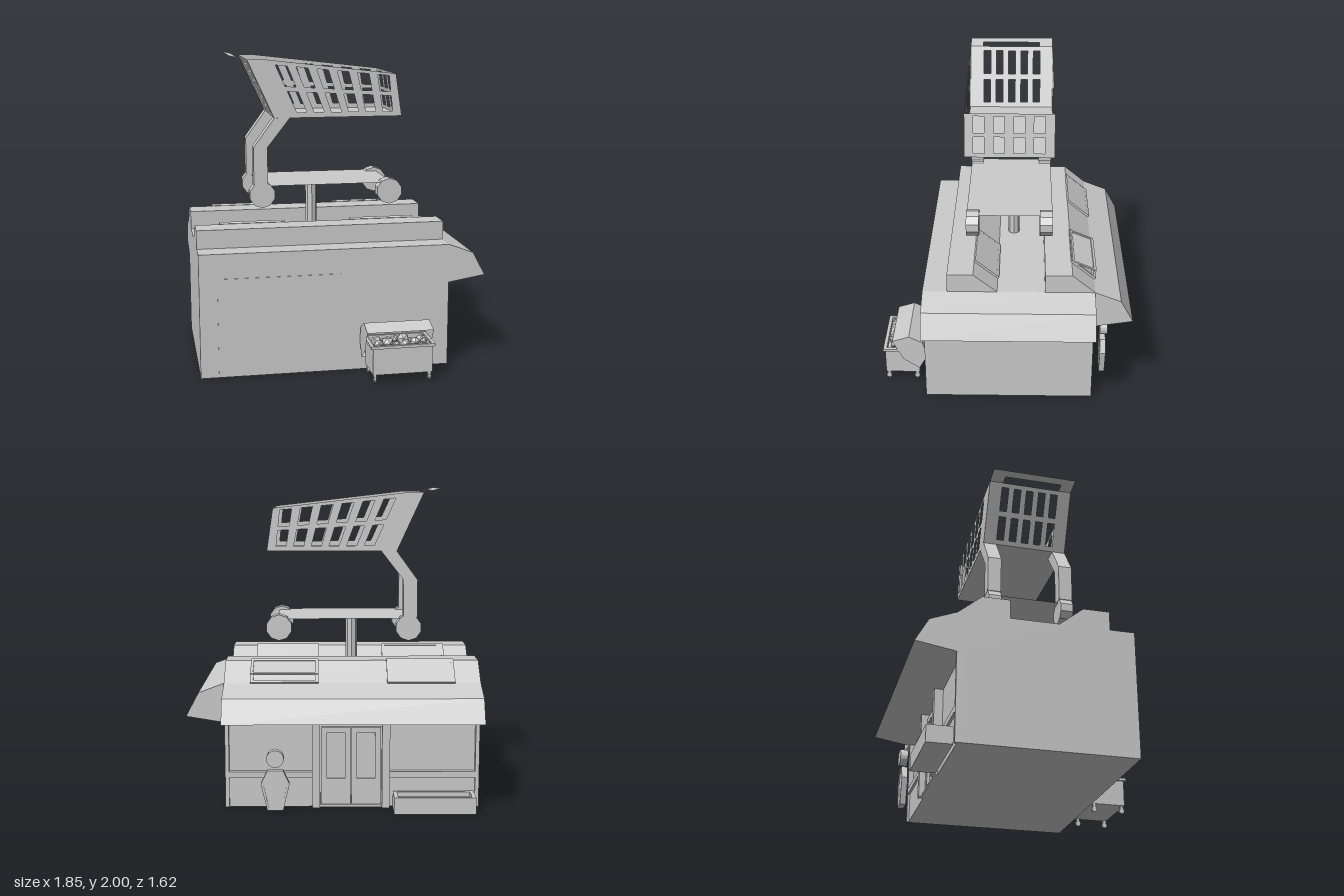
import * as THREE from 'three';

const mat = new THREE.MeshStandardMaterial({ color: 0xcccccc, flatShading: true });
const thin = new THREE.MeshStandardMaterial({ color: 0xcccccc, flatShading: true, side: THREE.DoubleSide });

function add(parent, name, geo, material = mat) {
  const m = new THREE.Mesh(geo, material);
  m.name = name;
  parent.add(m);
  return m;
}

// Box given by its limits on each axis
function box(parent, name, x0, x1, y0, y1, z0, z1) {
  const m = add(parent, name, new THREE.BoxGeometry(x1 - x0, y1 - y0, z1 - z0));
  m.position.set((x0 + x1) / 2, (y0 + y1) / 2, (z0 + z1) / 2);
  return m;
}

const toShape = (pts) => new THREE.Shape(pts.map(([a, b]) => new THREE.Vector2(a, b)));
const toPath = (pts) => new THREE.Path(pts.map(([a, b]) => new THREE.Vector2(a, b)));

// Profile of (x, y) points swept from z0 to z1
function sweepZ(pts, z0, z1) {
  return new THREE.ExtrudeGeometry(toShape(pts), { depth: z1 - z0, bevelEnabled: false }).translate(0, 0, z0);
}
// Profile of (z, y) points swept from x0 to x1
function sweepX(pts, x0, x1) {
  return new THREE.ExtrudeGeometry(toShape(pts), { depth: x1 - x0, bevelEnabled: false })
    .rotateY(-Math.PI / 2).translate(x1, 0, 0);
}
// Rectangular frame lying in the xy plane, with a centred opening
function frame(w, h, border, depth) {
  const r = (a, b) => [[-a, -b], [a, -b], [a, b], [-a, b]];
  const s = toShape(r(w / 2, h / 2));
  s.holes.push(toPath(r(w / 2 - border, h / 2 - border)));
  return new THREE.ExtrudeGeometry(s, { depth, bevelEnabled: false });
}

// Flat panel pierced by a grid of holes; quad = TL, TR, BR, BL of the grid
function pierced(outline, quad, cols, fill) {
  const s = toShape(outline);
  const at = (u, v) => [0, 1].map((k) =>
    (1 - v) * ((1 - u) * quad[0][k] + u * quad[1][k]) + v * ((1 - u) * quad[3][k] + u * quad[2][k]));
  const pitch = 1 / (cols - 1 + fill);
  for (let i = 0; i < cols; i++) {
    const u0 = i * pitch, u1 = u0 + pitch * fill;
    for (const [v0, v1] of [[0, 0.45], [0.56, 1]])
      s.holes.push(toPath([at(u0, v0), at(u0, v1), at(u1, v1), at(u1, v0)]));
  }
  return new THREE.ShapeGeometry(s);
}
// Stand a (z, y) panel up so that x follows a rule of y
function leanX(geo, xOfY) {
  const p = geo.attributes.position;
  for (let i = 0; i < p.count; i++) p.setXYZ(i, xOfY(p.getY(i)), p.getY(i), p.getX(i));
  geo.computeVertexNormals();
  return geo;
}

function buildShop() {
  const g = new THREE.Group();
  g.name = 'shop';
  // Walls, two roof ridges and rear awning in one profile
  add(g, 'building', sweepX([
    [0.52, 0], [0.52, 0.8], [0.365, 0.8], [0.365, 0.92], [0.2, 0.92], [0.05, 0.8], [-0.25, 0.8], [-0.25, 0.92],
    [-0.42, 0.92], [-0.565, 0.8], [-0.73, 0.735], [-0.81, 0.59], [-0.565, 0.55], [-0.53, 0.55], [-0.53, 0],
  ], -0.925, 0.68));
  add(g, 'sideAwning', sweepZ([[0.67, 0.55], [0.68, 0.55], [0.92, 0.59], [0.84, 0.74], [0.68, 0.8], [0.67, 0.8]], -0.565, 0.52));
  box(g, 'frontShutter', -0.81, -0.03, 0.01, 0.64, 0.515, 0.524);

  // Rear shop front
  for (const [a, b] of [[-0.9, -0.35], [0.13, 0.66]]) {
    box(g, 'wainscot', a, b, 0, 0.19, -0.55, -0.52);
    box(g, 'sill', a, b, 0.19, 0.23, -0.565, -0.52);
  }
  for (const [a, b] of [[-0.925, -0.9], [0.655, 0.68]]) box(g, 'cornerPost', a, b, 0, 0.56, -0.565, -0.52);
  for (const [a, b] of [[-0.36, -0.31], [0.08, 0.13]]) box(g, 'doorPost', a, b, 0, 0.57, -0.585, -0.52);
  box(g, 'threshold', -0.31, 0.08, 0, 0.015, -0.565, -0.52);
  for (const x of [-0.21, -0.02]) {
    add(g, 'door', frame(0.185, 0.5, 0.035, 0.015)).position.set(x, 0.265, -0.548);
    box(g, 'doorPanel', x - 0.06, x + 0.06, 0.04, 0.18, -0.545, -0.53);
  }

  // Skylights on both rear-facing slopes
  for (const x of [-0.5525, 0.3025])
    for (const [z, y, open] of [[-0.4925, 0.86, x > 0], [0.125, 0.86, false]]) {
      const s = new THREE.Group();
      s.name = 'skylight';
      s.position.set(x, y, z);
      s.rotation.x = -(Math.PI / 2 + 0.69);
      add(s, 'skylightFrame', frame(0.425, 0.195, 0.018, 0.014));
      const sash = new THREE.Group();
      sash.name = 'sash';
      sash.position.set(0, -0.0975, 0.012);
      const pane = add(sash, 'pane', new THREE.BoxGeometry(0.39, 0.16, 0.003));
      pane.position.y = 0.0975;
      s.add(sash);
      if (open) {
        add(sash, 'sashFrame', frame(0.425, 0.175, 0.018, 0.008)).position.y = 0.0875;
        sash.position.y = 0.0975;
        sash.scale.y = -1;
        sash.scale.x = -1;
        sash.rotation.x = 0;
      }
      g.add(s);
      if (open) {
        // Hinged at the ridge and swung outwards
        s.remove(sash);
        sash.scale.set(1, 1, 1);
        sash.position.set(x, 0.925, -0.415);
        sash.rotation.x = -(Math.PI / 2 + 0.4);
        g.add(sash);
      }
    }

  // Planter: open box with soil
  const bed = frame(0.51, 0.155, 0.025, 0.105).rotateX(-Math.PI / 2);
  add(g, 'planter', bed).position.set(-0.635, 0, -0.643);
  box(g, 'soil', -0.87, -0.4, 0, 0.075, -0.71, -0.57);

  // Free-standing six-sided sign with a round top piece
  const coffin = [[-0.05, 0.01], [0.05, 0.01], [0.09, 0.18], [0.05, 0.265], [-0.05, 0.265], [-0.09, 0.18]];
  add(g, 'signBoard', sweepZ(coffin, -0.66, -0.635)).position.x = 0.36;
  const rim = toShape(coffin.map(([x, y]) => [x, y]));
  rim.holes.push(toPath(coffin.map(([x, y]) => [x * 0.82, 0.14 + (y - 0.14) * 0.86])));
  add(g, 'signRim', new THREE.ExtrudeGeometry(rim, { depth: 0.038, bevelEnabled: false })).position.set(0.36, 0, -0.668);
  const disc = add(g, 'signDisc', new THREE.CylinderGeometry(0.055, 0.055, 0.05, 16).rotateX(Math.PI / 2));
  disc.position.set(0.36, 0.342, -0.652);

  add(g, 'pole', new THREE.CylinderGeometry(0.038, 0.038, 0.38, 8)).position.set(-0.127, 0.98, -0.047);
  return g;
}

function buildCart() {
  const g = new THREE.Group();
  g.name = 'shoppingCart';
  const zF = 0.255, zB = -0.3;
  const backX = (y) => -0.58 + (1.977 - y) * 0.457;
  const frontX = (y) => 0.42 - (y - 1.605) * 0.148;

  // Basket sides
  const side = [[-0.58, 1.977], [-0.41, 1.605], [0.42, 1.605], [0.38, 1.877], [-0.48, 1.977]];
  const sideGrid = [[-0.4, 1.94], [0.335, 1.865], [0.36, 1.635], [-0.265, 1.64]];
  for (const z of [zF, zB]) add(g, 'basketSide', pierced(side, sideGrid, 6, 0.57), thin).position.z = z;
  // Basket ends
  const rect = (a, b, lo, hi) => [[a, hi], [b, hi], [b, lo], [a, lo]];
  add(g, 'basketFront', leanX(pierced(rect(zB, zF, 1.605, 1.877), rect(-0.24, 0.2, 1.63, 1.86), 4, 0.55), frontX), thin);
  add(g, 'basketBack', leanX(pierced(rect(zB, zF, 1.605, 1.977), rect(-0.215, 0.165, 1.635, 1.95), 5, 0.55), backX), thin);
  const floor = add(g, 'basketFloor', new THREE.PlaneGeometry(0.83, zF - zB).rotateX(-Math.PI / 2), thin);
  floor.position.set(0.005, 1.605, (zF + zB) / 2);

  // Handle: thin bar on two arms, rising slightly outwards
  const bar = [[zB, -0.58], [zB, -0.69], [zF, -0.69], [zF, -0.58], [0.17, -0.58], [0.17, -0.635], [-0.21, -0.635], [-0.21, -0.58]];
  const handle = new THREE.ShapeGeometry(toShape(bar));
  const p = handle.attributes.position;
  for (let i = 0; i < p.count; i++) p.setXYZ(i, p.getY(i), 1.977 + (-0.58 - p.getY(i)) * 0.209, p.getX(i));
  handle.computeVertexNormals();
  add(g, 'handle', handle, thin);

  // Bent legs, wheels and lower tray
  const leg = [[-0.41, 1.605], [-0.545, 1.42], [-0.545, 1.18], [-0.455, 1.18], [-0.455, 1.42], [-0.31, 1.605]];
  for (const z0 of [0.17, -0.3]) {
    add(g, 'leg', sweepZ(leg, z0, z0 + 0.087));
    for (const x of [-0.49, 0.345]) {
      const w = add(g, 'wheel', new THREE.CylinderGeometry(0.084, 0.084, 0.082, 10).rotateX(Math.PI / 2));
      w.position.set(x, 1.112, z0 + 0.043);
    }
  }
  const tray = add(g, 'tray', new THREE.PlaneGeometry(0.87, 0.55).rotateX(-Math.PI / 2), thin);
  tray.position.set(-0.075, 1.17, -0.0225);
  return g;
}

function buildBin() {
  const g = new THREE.Group();
  g.name = 'wasteBin';
  // Open tub with a projecting rim
  const tub = frame(0.38, 0.225, 0.012, 0.18).rotateX(-Math.PI / 2);
  add(g, 'tub', tub).position.set(0.31, 0.06, 0.69);
  box(g, 'tubFloor', 0.12, 0.5, 0.055, 0.07, 0.578, 0.802);
  add(g, 'tubRim', frame(0.41, 0.245, 0.02, 0.018).rotateX(-Math.PI / 2)).position.set(0.31, 0.225, 0.692);

  // Barrel lid swung open towards the wall
  const arc = [[0.75, 0.31], [0.64, 0.345], [0.55, 0.3], [0.52, 0.2], [0.575, 0.1]];
  const shell = new THREE.PlaneGeometry(1, 1, 1, arc.length - 1);
  const p = shell.attributes.position;
  for (let i = 0; i < p.count; i++) {
    const [z, y] = arc[Math.floor(i / 2)];
    p.setXYZ(i, i % 2 ? 0.52 : 0.095, y, z);
  }
  shell.computeVertexNormals();
  add(g, 'lid', shell, thin);
  for (const x of [0.095, 0.52])
    add(g, 'lidEnd', leanX(new THREE.ShapeGeometry(toShape([...arc, [0.68, 0.17]])), () => x), thin);

  // Rubbish heap
  for (let i = 0; i < 12; i++) {
    const r = 0.032 + 0.01 * Math.sin(i * 2.3);
    const lump = add(g, 'rubbish', new THREE.IcosahedronGeometry(r, 0));
    lump.position.set(0.165 + (i % 6) * 0.058, 0.235 + 0.012 * Math.sin(i * 1.7), i < 6 ? 0.75 : 0.68);
    lump.rotation.set(i, i * 2, 0);
  }
  box(g, 'rubbishBase', 0.13, 0.49, 0.06, 0.215, 0.59, 0.79);

  // Castors
  for (const x of [0.135, 0.485])
    for (const z of [0.595, 0.785]) {
      box(g, 'castorStem', x - 0.01, x + 0.01, 0.03, 0.06, z - 0.01, z + 0.01);
      const c = add(g, 'castor', new THREE.CylinderGeometry(0.018, 0.018, 0.016, 10).rotateZ(Math.PI / 2));
      c.position.set(x, 0.02, z);
    }
  return g;
}

export function createModel() {
  const model = new THREE.Group();
  model.name = 'cornerShop';
  model.add(buildShop(), buildCart(), buildBin());
  return model;
}
